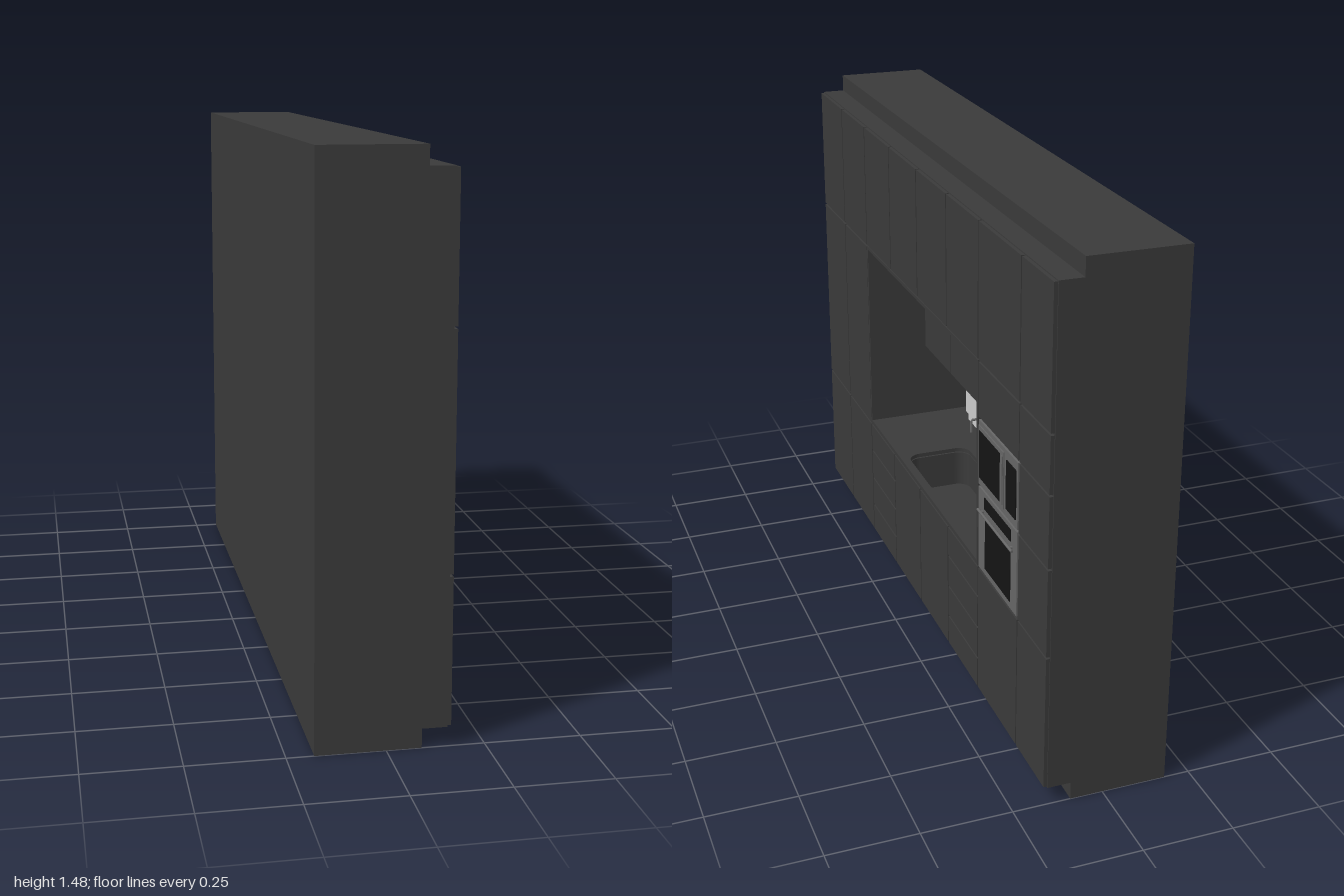
import * as THREE from 'three';

const mat = (color) => new THREE.MeshStandardMaterial({ color });

export function createModel() {
  const model = new THREE.Group();
  const dark = mat(0x3a3a3a), steel = mat(0x666666), black = mat(0x141414), pale = mat(0xcccccc);
  const BACK = -0.18, BODY = 0.155, FRONT = 0.165, GAP = 0.003;

  const add = (name, geometry, material) => {
    const mesh = new THREE.Mesh(geometry, material);
    mesh.name = name;
    model.add(mesh);
    return mesh;
  };
  // Box given by its limits on each axis
  const box = (name, [x0, x1], [y0, y1], [z0, z1], material = dark) => {
    const mesh = add(name, new THREE.BoxGeometry(x1 - x0, y1 - y0, z1 - z0), material);
    mesh.position.set((x0 + x1) / 2, (y0 + y1) / 2, (z0 + z1) / 2);
    return mesh;
  };
  // Grid of fronts separated by narrow gaps
  const fronts = (name, zs, ys, x0 = BODY, x1 = FRONT) => {
    for (let i = 0; i + 1 < zs.length; i++)
      for (let j = 0; j + 1 < ys.length; j++)
        box(name, [x0, x1], [ys[j] + GAP, ys[j + 1] - GAP], [zs[i] + GAP, zs[i + 1] - GAP]);
  };

  // Carcasses, plinth and cornice
  box('plinth', [BACK, 0.09], [0, 0.05], [-1, 1]);
  box('cornice', [BACK, 0.09], [1.43, 1.48], [-1, 1]);
  box('upperCarcass', [BACK, BODY], [1.05, 1.43], [-1, 1]);
  box('leftTallCarcass', [BACK, BODY], [0.05, 1.05], [0.505, 1]);
  box('rightTallCarcass', [BACK, BODY], [0.05, 1.05], [-1, -0.505]);
  box('baseCarcass', [BACK, BODY], [0.05, 0.33], [-0.505, 0.505]);

  // Doors and drawers
  fronts('upperDoor', [-1, -0.8, -0.505, -0.255, 0, 0.255, 0.505, 0.755, 1], [1.05, 1.43]);
  fronts('leftTallDoor', [0.505, 0.755, 1], [0.05, 0.44, 1.05]);
  fronts('baseDoor', [-0.255, 0, 0.255], [0.05, 0.44]);
  fronts('rightBaseDoor', [-1, -0.8, -0.505], [0.05, 0.44]);
  fronts('rightColumnDoor', [-1, -0.8], [0.44, 0.69, 0.89, 1.05]);
  fronts('applianceTopDoor', [-0.8, -0.505], [0.89, 1.05]);
  for (const z of [-0.505, 0.255])
    fronts('drawer', [z, z + 0.25], [0.05, 0.145, 0.245, 0.345, 0.44]);

  // Slabs around the sink opening
  const slab = (name, y0, y1, front) => {
    const shape = new THREE.Shape([[BACK, -0.505], [front, -0.505], [front, 0.505], [BACK, 0.505]]
      .map(([x, y]) => new THREE.Vector2(x, y)));
    const [a, b, c, d, r] = [-0.055, 0.14, -0.2, 0.15, 0.04];
    const hole = new THREE.Path();
    hole.absarc(b - r, d - r, r, 0, Math.PI / 2);
    hole.absarc(a + r, d - r, r, Math.PI / 2, Math.PI);
    hole.absarc(a + r, c + r, r, Math.PI, 1.5 * Math.PI);
    hole.absarc(b - r, c + r, r, 1.5 * Math.PI, 2 * Math.PI);
    hole.closePath();
    shape.holes.push(hole);
    const g = new THREE.ExtrudeGeometry(shape, { depth: y1 - y0, bevelEnabled: false, curveSegments: 8 });
    g.rotateX(-Math.PI / 2).translate(0, y0, 0);
    add(name, g, dark);
  };
  slab('sinkSurround', 0.33, 0.44, BODY);
  slab('countertop', 0.443, 0.455, FRONT);

  // Niche lining and wall cabinets
  box('nicheBack', [BACK, -0.165], [0.44, 1.05], [-0.505, 0.505]);
  box('nicheTop', [-0.165, FRONT], [1.04, 1.05], [-0.505, 0.505]);
  for (const s of [-1, 1])
    box('nicheSide', [-0.165, FRONT], [0.455, 1.04], s < 0 ? [-0.505, -0.495] : [0.495, 0.505]);
  box('wallCabinet', [-0.165, -0.03], [0.69, 0.89], [-0.495, 0.495]);
  fronts('wallCabinetDoor', [-0.495, -0.247, 0, 0.247, 0.495], [0.69, 0.89], -0.03, -0.02);

  // Tap
  const tapPath = new THREE.CurvePath();
  const pts = [[-0.12, 0.455], [-0.12, 0.64], [0, 0.64], [0, 0.6]].map(([x, y]) => new THREE.Vector3(x, y, 0));
  for (let i = 0; i < 3; i++) tapPath.add(new THREE.LineCurve3(pts[i], pts[i + 1]));
  add('tapSpout', new THREE.TubeGeometry(tapPath, 48, 0.004, 8), steel);
  add('tapBase', new THREE.CylinderGeometry(0.012, 0.012, 0.03, 16), steel).position.set(-0.12, 0.47, 0);
  box('tapLever', [-0.125, -0.115], [0.465, 0.472], [-0.03, 0.02], steel);
  box('tapLeverGrip', [-0.124, -0.116], [0.465, 0.5], [-0.034, -0.028], steel);

  // Cutting boards against the niche wall
  box('squareBoard', [-0.16, -0.148], [0.455, 0.64], [0.32, 0.46], pale);
  const arch = new THREE.Shape();
  arch.moveTo(-0.072, 0);
  arch.lineTo(0.072, 0);
  arch.absarc(0, 0.068, 0.072, 0, Math.PI);
  arch.closePath();
  const board = add('archedBoard',
    new THREE.ExtrudeGeometry(arch, { depth: 0.012, bevelEnabled: false, curveSegments: 24 }), pale);
  board.rotation.y = Math.PI / 2;
  board.position.set(-0.145, 0.455, 0.323);

  // Microwave
  box('microwaveBody', [BODY, 0.165], [0.697, 0.885], [-0.793, -0.512], steel);
  box('microwaveDoor', [0.165, 0.168], [0.71, 0.872], [-0.7, -0.518], steel);
  box('microwaveWindow', [0.165, 0.169], [0.722, 0.86], [-0.675, -0.525], black);
  box('microwaveControls', [0.165, 0.168], [0.722, 0.86], [-0.785, -0.718], black);
  box('microwaveHandle', [0.165, 0.171], [0.722, 0.86], [-0.697, -0.689], steel);

  // Oven
  box('ovenBody', [BODY, 0.165], [0.445, 0.69], [-0.793, -0.512], steel);
  box('ovenDisplay', [0.165, 0.167], [0.643, 0.677], [-0.75, -0.56], black);
  box('ovenWindow', [0.165, 0.167], [0.465, 0.615], [-0.75, -0.565], black);
  const handle = add('ovenHandle', new THREE.CylinderGeometry(0.004, 0.004, 0.25, 12), steel);
  handle.rotation.x = Math.PI / 2;
  handle.position.set(0.174, 0.63, -0.655);
  for (const z of [-0.76, -0.55])
    box('ovenHandleMount', [0.165, 0.174], [0.627, 0.633], [z - 0.004, z + 0.004], steel);

  return model;
}
